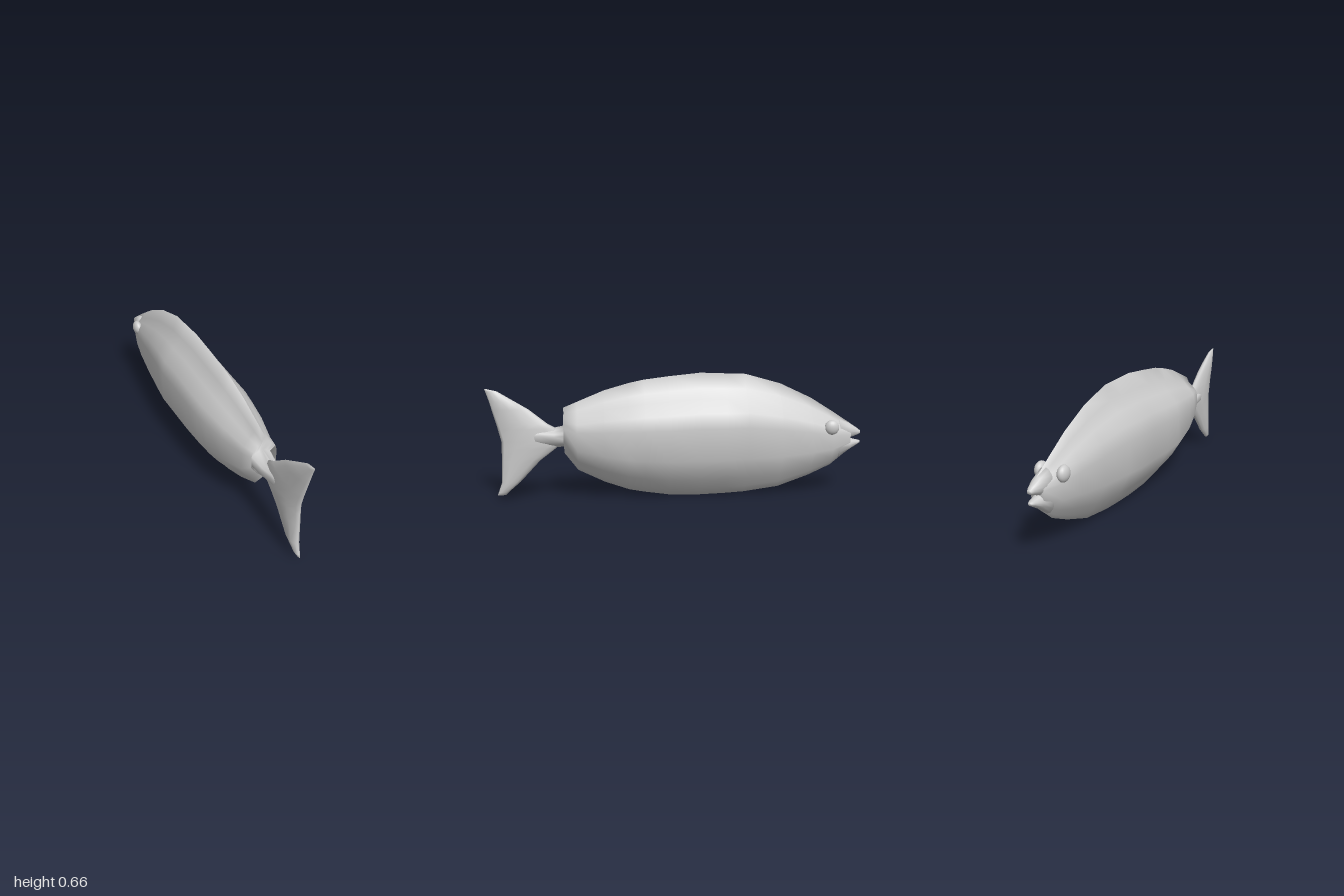
import * as THREE from 'three';

const material = new THREE.MeshStandardMaterial({ color: 0xcccccc });

// Skins a list of closed rings (arrays of [x, y, z]) and caps both ends.
function loft(rings) {
  const n = rings[0].length;
  const points = rings.flat();
  const index = [];
  for (let i = 0; i < rings.length - 1; i++) {
    for (let j = 0; j < n; j++) {
      const a = i * n + j, b = i * n + (j + 1) % n;
      index.push(a, a + n, b, b, a + n, b + n);
    }
  }
  [0, rings.length - 1].forEach((r, end) => {
    const centre = points.length;
    points.push([0, 1, 2].map(k => rings[r].reduce((s, p) => s + p[k], 0) / n));
    for (let j = 0; j < n; j++) {
      const a = r * n + j, b = r * n + (j + 1) % n;
      index.push(centre, end ? b : a, end ? a : b);
    }
  });
  const geometry = new THREE.BufferGeometry();
  geometry.setAttribute('position', new THREE.Float32BufferAttribute(points.flat(), 3));
  geometry.setIndex(index);
  geometry.computeVertexNormals();
  return geometry;
}

// Closes a half outline [width, along] into a symmetric loop.
const mirror = half => [...half, ...half.slice(1, -1).reverse().map(([w, v]) => [-w, v])];

// Half outlines: width fraction, height (or chord) fraction
const bodySection = mirror([[0, 1], [0.2, 0.88], [0.53, 0.8], [0.89, 0.7], [1, 0.585],
  [1, 0.33], [0.53, 0.15], [0.2, 0.06], [0, 0]]);
const roundSection = mirror([[0, 1], [0.5, 0.93], [0.87, 0.75], [1, 0.5], [0.87, 0.25], [0.5, 0.07], [0, 0]]);
const finSection = mirror([[0, 0], [0.45, 0.05], [0.85, 0.25], [1, 0.5], [0.75, 0.8], [0.4, 0.95], [0, 1]]);

// Stations run along z: [z, bottom, top, half width]
const alongZ = (stations, section) => loft(stations.map(([z, low, high, w]) =>
  section.map(([x, v]) => [x * w, low + (high - low) * v, z])));

// Stations run down y: [y, trailing z, leading z, half width]
const alongY = (stations, section) => loft(stations.map(([y, trail, lead, w]) =>
  section.map(([x, v]) => [x * w, y, trail + (lead - trail) * v])));

export function createModel() {
  const group = new THREE.Group();
  const add = (name, geometry) => {
    const mesh = new THREE.Mesh(geometry, material);
    mesh.name = name;
    group.add(mesh);
    return mesh;
  };

  // Body, folding in at the rear rim around the narrow tail stem
  add('body', alongZ([
    [-0.94, 0.235, 0.385, 0.035],
    [-0.84, 0.153, 0.45, 0.062],
    [-0.72, 0.098, 0.525, 0.085],
    [-0.55, 0.038, 0.605, 0.108],
    [-0.36, 0.013, 0.658, 0.134],
    [-0.25, 0.007, 0.662, 0.146],
    [-0.12, 0.003, 0.667, 0.146],
    [0.05, 0.008, 0.65, 0.146],
    [0.18, 0.027, 0.634, 0.145],
    [0.26, 0.042, 0.617, 0.136],
    [0.39, 0.088, 0.58, 0.117],
    [0.53, 0.157, 0.522, 0.083],
    [0.6, 0.25, 0.493, 0.068],
    [0.57, 0.285, 0.405, 0.058],
    [0.65, 0.284, 0.388, 0.046],
    [0.72, 0.285, 0.395, 0.036],
    [0.82, 0.3, 0.38, 0.022],
  ], bodySection));

  // Parted lips
  add('upperLip', alongZ([
    [-1, 0.324, 0.342, 0.012],
    [-0.985, 0.316, 0.354, 0.02],
    [-0.94, 0.299, 0.384, 0.034],
    [-0.88, 0.28, 0.41, 0.042],
  ], roundSection));
  add('lowerLip', alongZ([
    [-1, 0.272, 0.286, 0.01],
    [-0.985, 0.263, 0.29, 0.019],
    [-0.94, 0.236, 0.301, 0.034],
    [-0.88, 0.19, 0.33, 0.044],
  ], roundSection));

  // Forked tail fin
  add('tailFin', alongY([
    [0.595, 1, 0.985, 0.003],
    [0.583, 0.995, 0.936, 0.01],
    [0.53, 0.978, 0.85, 0.021],
    [0.487, 0.967, 0.78, 0.026],
    [0.41, 0.946, 0.685, 0.03],
    [0.385, 0.94, 0.64, 0.032],
    [0.32, 0.925, 0.61, 0.034],
    [0.28, 0.925, 0.64, 0.032],
    [0.214, 0.926, 0.727, 0.03],
    [0.1, 0.93, 0.834, 0.025],
    [0.045, 0.95, 0.898, 0.013],
    [0.03, 0.957, 0.912, 0.005],
  ], finSection));

  // Eyes
  for (const side of [1, -1]) {
    const eye = add(side > 0 ? 'leftEye' : 'rightEye', new THREE.SphereGeometry(0.04, 20, 14));
    eye.scale.x = 0.65;
    eye.position.set(side * 0.059, 0.37, -0.825);
  }
  return group;
}
